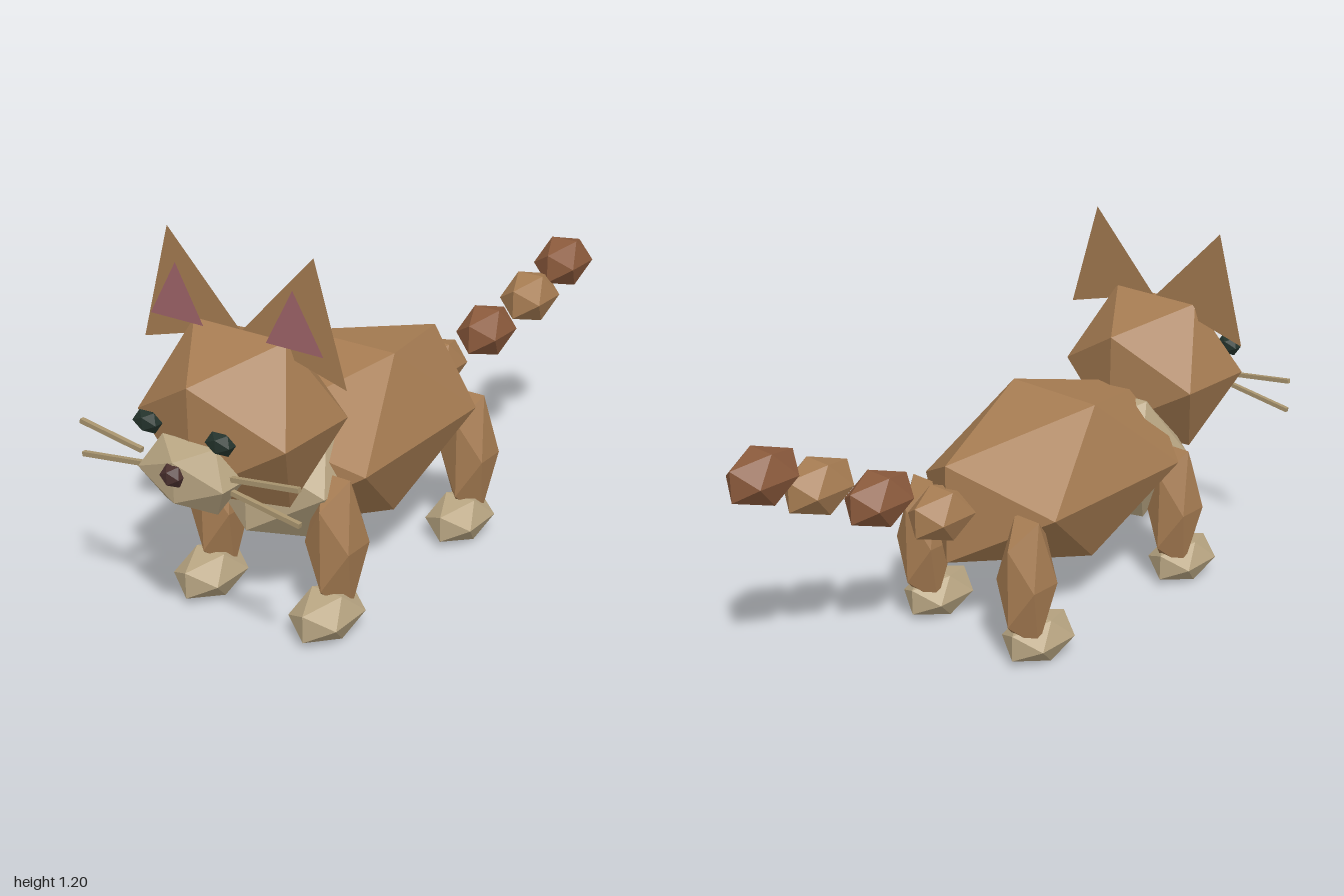
import * as THREE from 'three';

const material = (color, side = THREE.FrontSide) =>
  new THREE.MeshStandardMaterial({ color, flatShading: true, side });

const fur = material(0xa67c52);
const darkFur = material(0x8b5a3c);
const cream = material(0xb8a582);
const eyeDark = material(0x24332c);
const noseDark = material(0x4a302e);
const whiskerTan = material(0xa8946e);
const earFur = material(0xa67c52, THREE.DoubleSide);
const earPink = material(0xa0646a, THREE.DoubleSide);

// A faceted lump: a 20-sided ball stretched to three radii
function lump(name, mat, [x, y, z], [rx, ry, rz]) {
  const mesh = new THREE.Mesh(new THREE.IcosahedronGeometry(1, 0).scale(rx, ry, rz), mat);
  mesh.name = name;
  mesh.position.set(x, y, z);
  return mesh;
}

// A flat triangle facing the front
function triangle(name, mat, points, z) {
  const shape = new THREE.Shape(points.map(([x, y]) => new THREE.Vector2(x, y)));
  const mesh = new THREE.Mesh(new THREE.ShapeGeometry(shape), mat);
  mesh.name = name;
  mesh.position.z = z;
  return mesh;
}

export function createModel() {
  const model = new THREE.Group();
  model.name = 'cat';

  // Trunk
  model.add(
    lump('body', fur, [0, 0.478, 0.157], [0.327, 0.309, 0.58]),
    lump('chest', cream, [0, 0.446, 0.46], [0.265, 0.245, 0.25]),
  );

  // Head and face
  const head = new THREE.Group();
  head.name = 'head';
  head.add(
    lump('skull', fur, [0, 0.693, 0.672], [0.311, 0.297, 0.273]),
    lump('muzzle', cream, [0, 0.595, 0.903], [0.178, 0.116, 0.084]),
    lump('nose', noseDark, [0, 0.618, 0.973], [0.04, 0.036, 0.032]),
  );
  model.add(head);

  for (const [side, s] of [['left', 1], ['right', -1]]) {
    head.add(lump(`${side}Eye`, eyeDark, [s * 0.129, 0.727, 0.923], [0.05, 0.036, 0.027]));

    // Ear with its pink inside
    head.add(
      triangle(`${side}Ear`, earFur, [[s * 0.36, 0.845], [s * 0.255, 1.2], [s * 0.004, 0.942]], 0.665),
      triangle(`${side}InnerEar`, earPink, [[s * 0.305, 0.938], [s * 0.205, 1.108], [s * 0.111, 0.938]], 0.695),
    );

    // Two whiskers spreading outwards
    for (const [level, v] of [['Upper', 1], ['Lower', -1]]) {
      const whisker = new THREE.Mesh(new THREE.BoxGeometry(0.23, 0.014, 0.014), whiskerTan);
      whisker.name = `${side}${level}Whisker`;
      whisker.position.set(s * 0.274, 0.61 + v * 0.036, 0.918);
      whisker.rotation.z = s * v * 0.14;
      head.add(whisker);
    }

    // Legs and paws
    for (const [end, z] of [['Front', 0.526], ['Back', -0.212]]) {
      const leg = new THREE.Group();
      leg.name = `${side}${end}Leg`;
      leg.position.set(s * 0.221, 0, z);
      leg.add(
        lump('leg', fur, [0, 0.283, 0], [0.092, 0.248, 0.101]),
        lump('paw', cream, [0, 0.071, 0.054], [0.102, 0.083, 0.142]),
      );
      model.add(leg);
    }
  }

  // Tail of four lumps rising backwards and curving to the left
  const tail = new THREE.Group();
  tail.name = 'tail';
  [0, 0.084, 0.147, 0.176].forEach((x, i) => {
    const centre = [x, 0.493 + i * 0.082, -0.352 - i * 0.178];
    tail.add(lump(`tailSegment${i + 1}`, i % 2 ? darkFur : fur, centre, [0.09, 0.093, 0.134]));
  });
  model.add(tail);

  return model;
}
